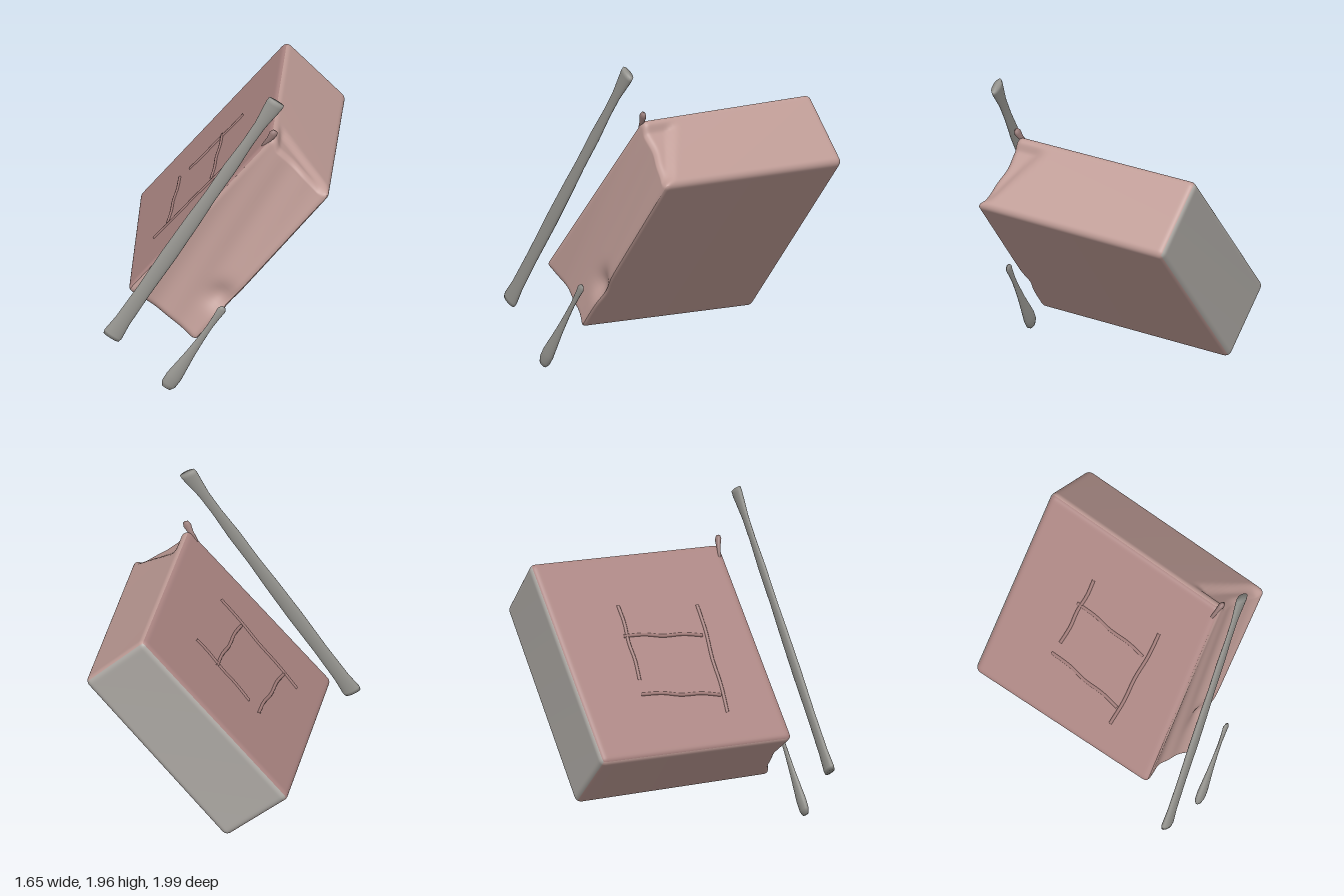
import * as THREE from 'three';

const V = (x, y, z) => new THREE.Vector3(x, y, z);
const PINK = 0xc09d97, GREY = 0x94938e;

// Block corners, indexed by [front][upper][under side]
const CORNERS = [
  [[V(-0.855, 0.55, -0.42), V(-0.495, 0.205, -0.595)], [V(-0.07, 1.625, -0.875), V(0.275, 1.255, -1.02)]],
  [[V(-0.275, 0.57, 0.745), V(0.125, 0.245, 0.595)], [V(0.485, 1.62, 0.285), V(0.855, 1.27, 0.2)]],
];
const HALF = V(0.255, 0.67, 0.63); // half thickness, height and width
const ROUND = 0.04;
const FRONT = V(0.42, 0, 0.91); // outward direction of the creased front side
const UP = V(0.58, 0.78, -0.32); // long direction of the block

// Fractions across thickness (a), height (b), width (c) to a point of the skewed block
function blockPoint(a, b, c) {
  const edge = (f, u) => CORNERS[f][u][0].clone().lerp(CORNERS[f][u][1], a);
  const side = (f) => edge(f, 0).lerp(edge(f, 1), b);
  return side(0).lerp(side(1), c);
}

// Cube point (-1..1) to the rounded, dented surface
function shapePoint(p) {
  const full = p.clone().multiply(HALF);
  const inner = HALF.clone().subScalar(ROUND);
  const core = full.clone().clamp(inner.clone().negate(), inner);
  const off = full.sub(core);
  if (off.lengthSq() > 0) off.setLength(Math.min(ROUND, off.length()));
  const q = core.add(off).divide(HALF).addScalar(1).divideScalar(2);
  const out = blockPoint(q.x, q.y, q.z);

  // Front side sags between its two long edges, with a pinch near the lower end
  const nearFront = THREE.MathUtils.smoothstep(p.z, 0.75, 1);
  const hollow = 0.05 * (1 - p.x * p.x) * (0.8 - 0.2 * p.y);
  const pinch = 0.045 * Math.exp(-(((p.x - 0.75) / 0.3) ** 2) - ((p.y + 0.5) / 0.13) ** 2);
  const folds = 0.005 * Math.sin(p.x * 7 + p.y * 3) * (1 - p.x * p.x);
  out.addScaledVector(FRONT, -nearFront * (hollow + pinch + folds));

  // Shallow triangular step at the front of the upper end
  const start = 0.78 + 0.17 * q.x;
  const step = THREE.MathUtils.smoothstep(q.z, start, start + 0.07)
    * THREE.MathUtils.smoothstep(q.x, 0.08, 0.2) * THREE.MathUtils.smoothstep(1 - q.x, 0, 0.15);
  return out.addScaledVector(UP, -0.028 * step * THREE.MathUtils.smoothstep(q.y, 0.94, 0.99));
}

// One side of the block, bent from a flat grid that is denser towards its rims
function blockSide(name, color, rx, ry) {
  const geo = new THREE.PlaneGeometry(2, 2, 60, 60);
  const pos = geo.attributes.position;
  const turn = new THREE.Euler(rx, ry, 0);
  const dense = (t) => Math.sin((t * Math.PI) / 2);
  for (let i = 0; i < pos.count; i++) {
    const p = V(dense(pos.getX(i)), dense(pos.getY(i)), 1).applyEuler(turn);
    const s = shapePoint(p);
    pos.setXYZ(i, s.x, s.y, s.z);
  }
  geo.computeVertexNormals();
  const mesh = new THREE.Mesh(geo, new THREE.MeshStandardMaterial({ color }));
  mesh.name = name;
  return mesh;
}

// Flattened stick between two points; profile rows are [radius, fraction of length]
function stick(name, color, from, to, profile, flat) {
  const dir = to.clone().sub(from);
  const length = dir.length();
  dir.normalize();
  const side = dir.clone().cross(FRONT).normalize();
  const geo = new THREE.LatheGeometry(profile.map(([r, t]) => new THREE.Vector2(r, t * length)), 20);
  geo.scale(1, 1, flat);
  geo.applyMatrix4(new THREE.Matrix4().makeBasis(side, dir, side.clone().cross(dir)).setPosition(from));
  const mesh = new THREE.Mesh(geo, new THREE.MeshStandardMaterial({ color }));
  mesh.name = name;
  return mesh;
}

export function createModel() {
  const model = new THREE.Group();
  model.name = 'wrappedBlockWithSticks';

  // Block
  const block = new THREE.Group();
  block.name = 'block';
  const h = Math.PI / 2;
  block.add(
    blockSide('frontSide', PINK, 0, 0),
    blockSide('rearSide', 0xaeaaa5, 0, Math.PI),
    blockSide('coverSide', 0xab8582, 0, -h),
    blockSide('underSide', PINK, 0, h),
    blockSide('upperEnd', PINK, -h, 0),
    blockSide('lowerEnd', PINK, h, 0),
  );
  model.add(block);

  // Raised creases on the cover: [height, width] fractions of each end
  const creases = [
    [[0.31, 0.32], [0.26, 0.72]],
    [[0.6, 0.34], [0.56, 0.74]],
    [[0.38, 0.34], [0.75, 0.37]],
    [[0.17, 0.72], [0.71, 0.77]],
  ];
  creases.forEach(([s, e], k) => {
    const pts = [0, 0.25, 0.5, 0.75, 1].map((t, i) => {
      const wobble = i % 2 ? 0.004 : -0.003;
      return blockPoint(0.002, s[0] + (e[0] - s[0]) * t + wobble, s[1] + (e[1] - s[1]) * t + wobble);
    });
    const geo = new THREE.TubeGeometry(new THREE.CatmullRomCurve3(pts), 24, 0.011, 8);
    const mesh = new THREE.Mesh(geo, new THREE.MeshStandardMaterial({ color: 0xa07b78 }));
    mesh.name = 'coverCrease' + (k + 1);
    model.add(mesh);
  });

  // Small nub at the upper front corner
  model.add(stick('cornerNub', 0x9a7d7a, V(0.43, 1.54, 0.28), V(0.51, 1.665, 0.275),
    [[0, 0], [0.018, 0], [0.018, 0.5], [0.026, 0.8], [0.018, 0.95], [0, 1]], 0.7));

  // Long stick with flared ends
  model.add(stick('longStick', GREY, V(-0.255, 0.355, 0.965), V(0.58, 1.935, 0.385),
    [[0, 0], [0.055, 0], [0.061, 0.012], [0.05, 0.07], [0.046, 0.2], [0.05, 0.35], [0.046, 0.5],
      [0.04, 0.6], [0.042, 0.72], [0.034, 0.82], [0.036, 0.9], [0.056, 0.985], [0.054, 1], [0, 1]], 0.42));

  // Short stick with a thick lower end
  model.add(stick('shortStick', GREY, V(0.045, 0.015, 0.815), V(0.345, 0.565, 0.625),
    [[0, 0], [0.03, 0.005], [0.047, 0.05], [0.05, 0.14], [0.04, 0.28], [0.03, 0.42], [0.022, 0.6],
      [0.018, 0.75], [0.022, 0.88], [0.027, 0.96], [0.015, 0.995], [0, 1]], 0.5));

  return model;
}
